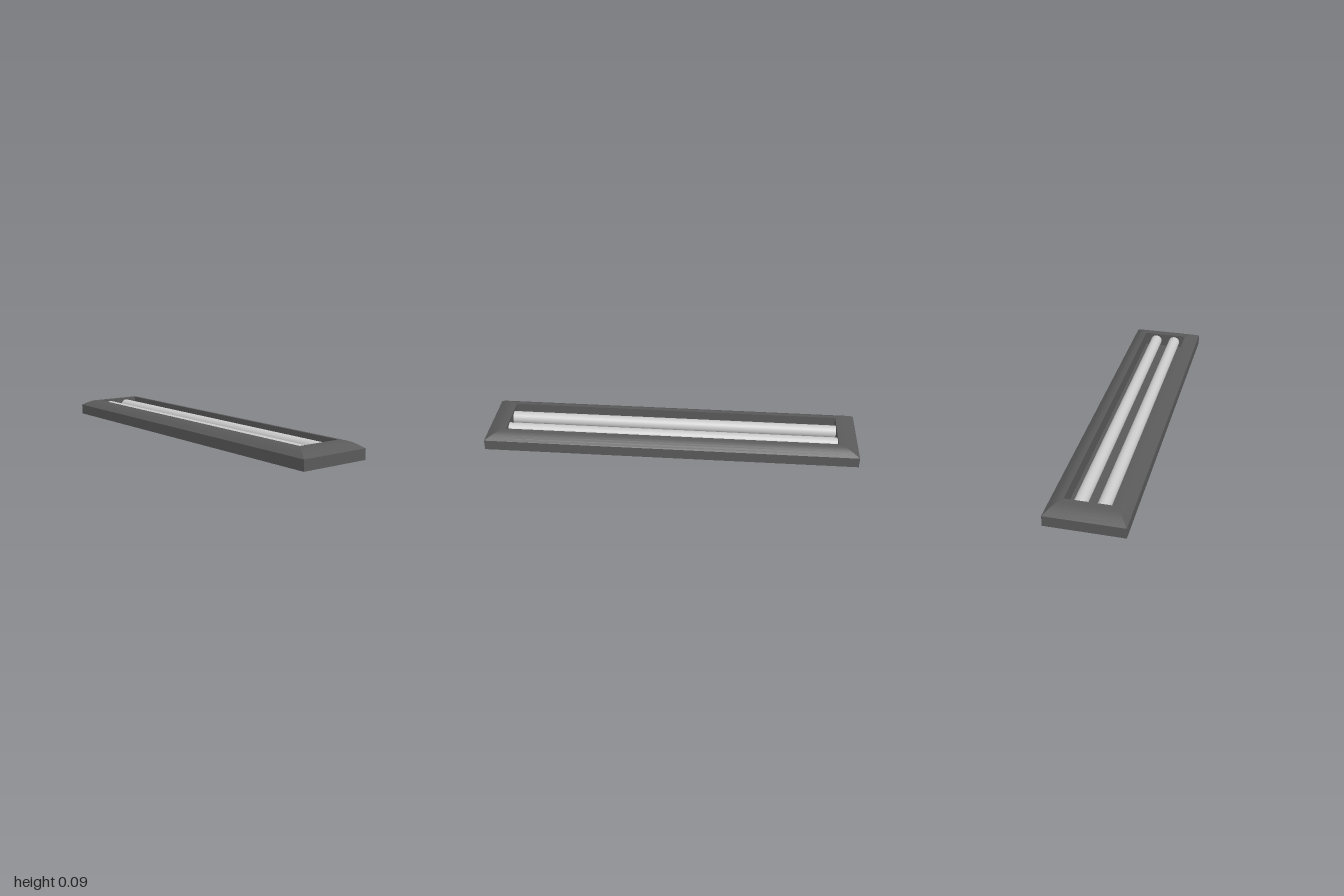
import * as THREE from 'three';
import { mergeGeometries } from 'three/addons/utils/BufferGeometryUtils.js';

const FLOOR = 0.013;
const TOP = 0.09;
const OUTER = [0.2, 1];
const INNER = [0.125, 0.893];

// One mitred side of the frame: a smooth strip between two corners.
// Each profile point is [t, y], where t runs from the outer (0) to the inner (1) rectangle.
function sideStrip(profile, a, b) {
  const positions = [];
  const index = [];
  profile.forEach(([t, y], i) => {
    const x = THREE.MathUtils.lerp(OUTER[0], INNER[0], t);
    const z = THREE.MathUtils.lerp(OUTER[1], INNER[1], t);
    positions.push(a[0] * x, y, a[1] * z, b[0] * x, y, b[1] * z);
    if (i > 0) {
      const k = 2 * (i - 1);
      index.push(k, k + 1, k + 3, k, k + 3, k + 2);
    }
  });
  const geometry = new THREE.BufferGeometry();
  geometry.setAttribute('position', new THREE.Float32BufferAttribute(positions, 3));
  geometry.setIndex(index);
  geometry.computeVertexNormals();
  return geometry;
}

// Four sides, with sharp mitres at the corners
function frameBand(profile) {
  const corners = [[1, 1], [1, -1], [-1, -1], [-1, 1]];
  return mergeGeometries(corners.map((c, i) => sideStrip(profile, c, corners[(i + 1) % 4])));
}

export function createModel() {
  const group = new THREE.Group();
  const dark = new THREE.MeshStandardMaterial({ color: 0x5a5a5a });
  const grey = new THREE.MeshStandardMaterial({ color: 0xcccccc });

  const add = (name, geometry, material) => {
    const mesh = new THREE.Mesh(geometry, material);
    mesh.name = name;
    group.add(mesh);
    return mesh;
  };

  // Housing: outer wall, rounded bevel and inner wall
  add('outerWall', frameBand([[0, 0], [0, 0.056]]), dark);
  add('bevel', frameBand([[0, 0.056], [0.17, 0.066], [0.34, 0.0755], [0.5, 0.0825], [0.64, 0.087], [0.8, 0.0893], [1, TOP]]), dark);
  add('innerWall', frameBand([[1, TOP], [1, FLOOR]]), dark);

  // Underside and recessed floor
  add('underside', new THREE.PlaneGeometry(2 * OUTER[0], 2 * OUTER[1]).rotateX(Math.PI / 2), dark);
  add('recessFloor', new THREE.PlaneGeometry(2 * INNER[0], 2 * INNER[1]).rotateX(-Math.PI / 2), dark)
    .position.y = FLOOR;

  // Two lamp tubes running the length of the recess
  const tube = new THREE.CylinderGeometry(0.033, 0.033, 2 * INNER[1], 32).rotateX(Math.PI / 2);
  for (const [name, side] of [['leftTube', 1], ['rightTube', -1]]) {
    add(name, tube, grey).position.set(side * 0.057, 0.046, 0);
  }

  return group;
}
